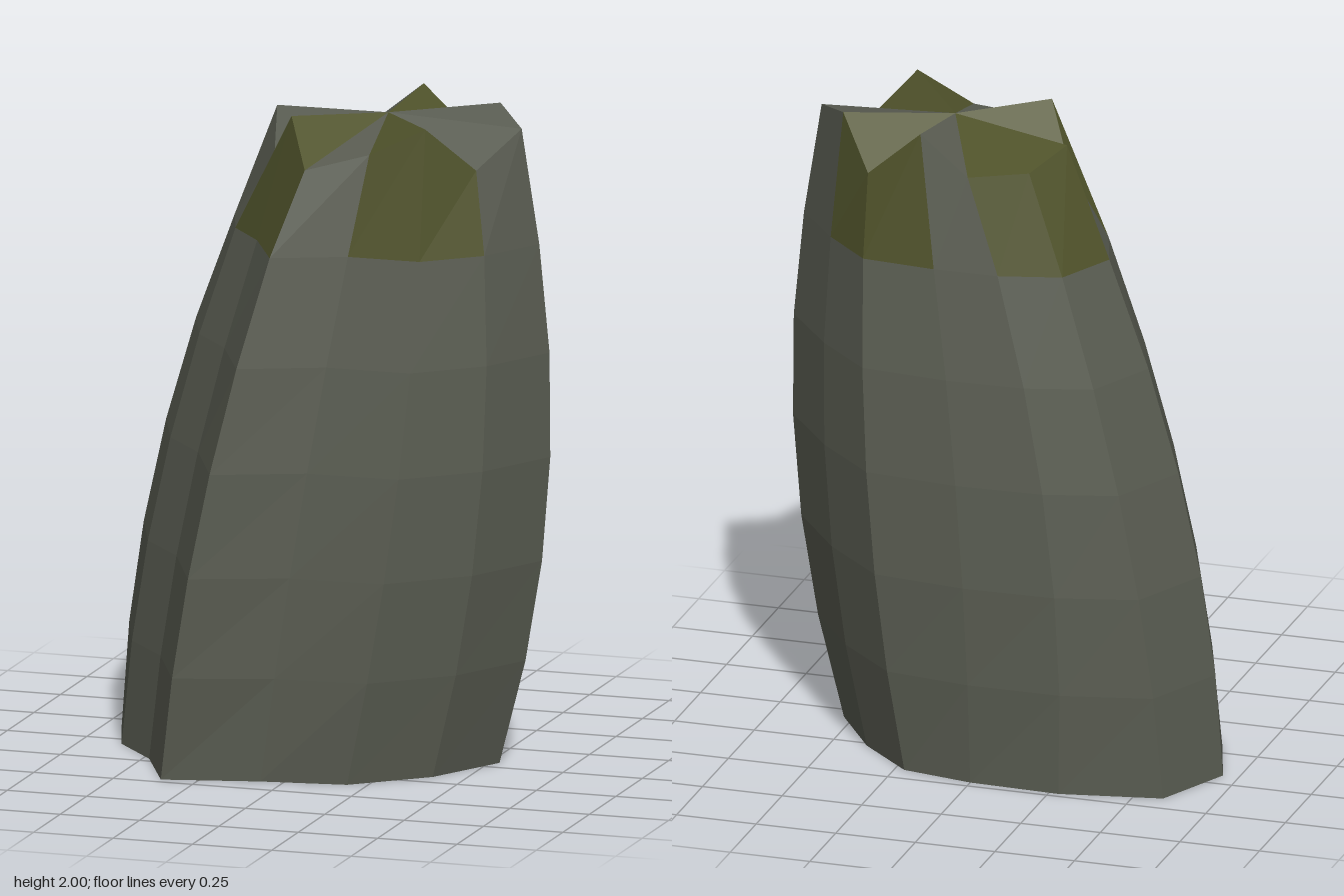
import * as THREE from 'three';

// Thirteen columns, running from +x towards +z: [x, z] at the foot, the belly and the crown
const foot = [[.53, -.06], [.4, .18], [.19, .36], [-.07, .4], [-.36, .47], [-.48, .22], [-.62, .06],
  [-.7, -.18], [-.59, -.42], [-.28, -.48], [0, -.47], [.22, -.43], [.39, -.27]];
const belly = [[.69, -.06], [.56, .19], [.355, .37], [.07, .38], [-.2, .49], [-.33, .21], [-.47, .05],
  [-.56, -.18], [-.45, -.42], [-.23, -.48], [.04, -.49], [.33, -.46], [.52, -.28]];
const crown = [[.6, -.06], [.51, .1], [.385, .205], [.21, .21], [.03, .28], [-.065, .12], [-.16, 0],
  [-.2, -.15], [-.13, -.3], [.05, -.34], [.2, -.335], [.37, -.32], [.485, -.205]];
const crownY = [1.95, 1.85, 1.99, 1.9, 1.855, 1.98, 1.81, 1.945, 1.9, 1.88, 2, 1.85, 1.99];
const levels = [0, .32, .63, .95, 1.27, 1.6];
const mossy = [1, 2, 4, 5, 7, 8, 10, 11]; // panels with moss at the top
const N = crown.length;

// Quadratic curve through three values at u = 0, 1, 2
const bend = (a, b, c, u) => a * (u - 1) * (u - 2) / 2 - b * u * (u - 2) + c * u * (u - 1) / 2;

function point(row, i) {
  i %= N;
  const top = row === levels.length;
  const u = top ? 2 : levels[row] / .95;
  return [
    bend(foot[i][0], belly[i][0], crown[i][0], u),
    top ? crownY[i] : levels[row],
    bend(foot[i][1], belly[i][1], crown[i][1], u),
  ];
}

function facets(name, triangles, material) {
  const geometry = new THREE.BufferGeometry();
  geometry.setAttribute('position', new THREE.Float32BufferAttribute(triangles.flat(), 3));
  geometry.computeVertexNormals();
  const mesh = new THREE.Mesh(geometry, material);
  mesh.name = name;
  return mesh;
}

export function createModel() {
  const stone = new THREE.MeshStandardMaterial({ color: 0x5a5d52, flatShading: true, side: THREE.DoubleSide });
  stone.name = 'stone grey';
  const moss = new THREE.MeshStandardMaterial({ color: 0x50532b, flatShading: true, side: THREE.DoubleSide });
  moss.name = 'moss olive';

  const wall = [], wallMoss = [], cap = [], capMoss = [];
  const peak = [.18, 1.97, -.06];
  for (let i = 0; i < N; i++) {
    const green = mossy.includes(i);
    // Side panels, open at the foot
    for (let r = 0; r < levels.length; r++) {
      const a = point(r, i), b = point(r, i + 1), c = point(r + 1, i), d = point(r + 1, i + 1);
      const list = green && r === levels.length - 1 ? wallMoss : wall;
      list.push(a, c, b, b, c, d);
    }
    // Fan across the jagged crown
    const rim = levels.length;
    (green ? capMoss : cap).push(peak, point(rim, i + 1), point(rim, i));
  }

  const group = new THREE.Group();
  group.name = 'rockPillar';
  group.add(
    facets('rockWall', wall, stone),
    facets('mossyWallPatches', wallMoss, moss),
    facets('rockCrown', cap, stone),
    facets('mossyCrownPatches', capMoss, moss),
  );
  return group;
}
